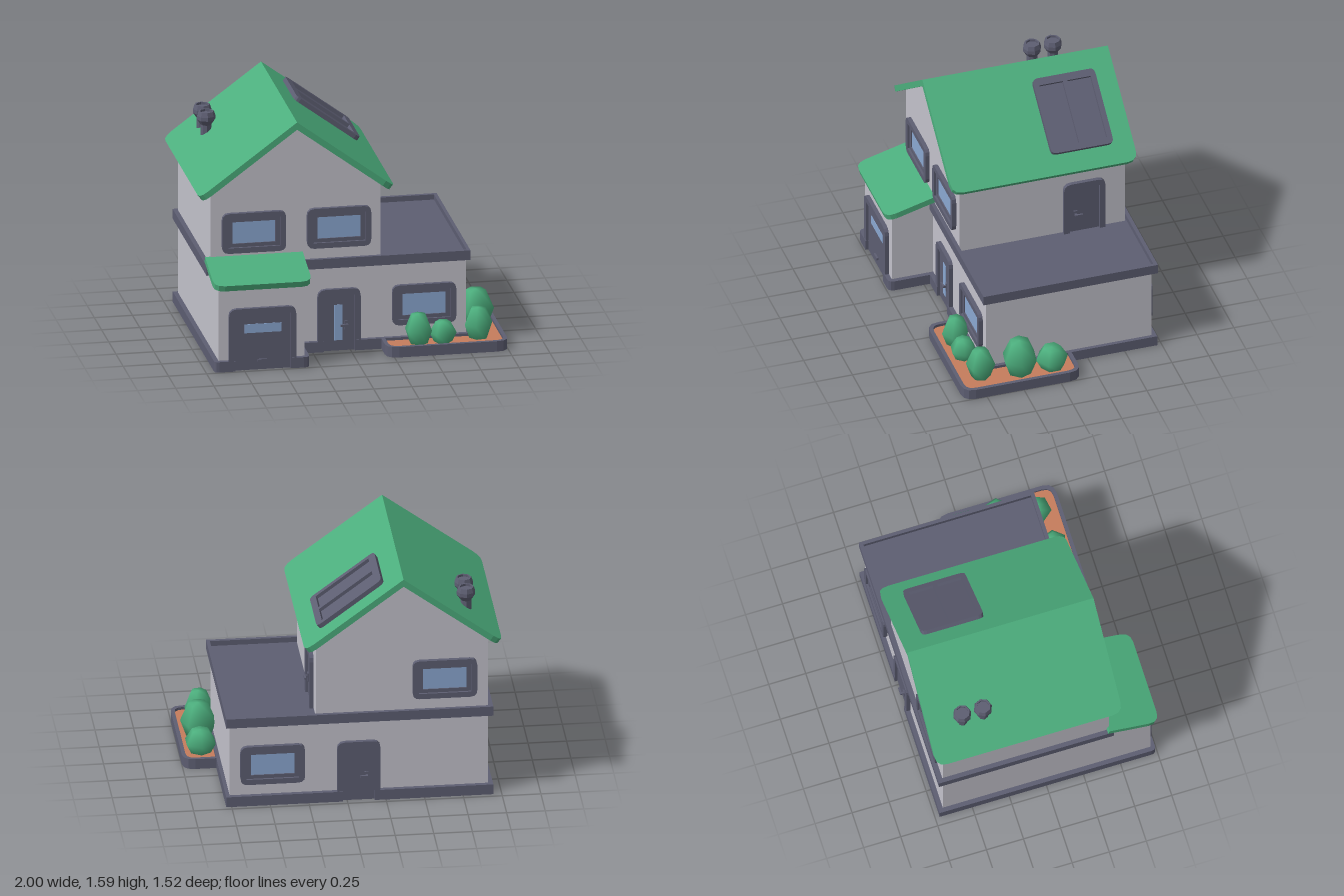
import * as THREE from 'three';

const mat = (name, color) => {
  const m = new THREE.MeshStandardMaterial({ color });
  m.name = name;
  return m;
};

// Closed outline from [x, y, cornerRadius] points
function outline(pts, Type = THREE.Shape) {
  const s = new Type();
  const n = pts.length;
  pts.forEach(([x, y, r = 0], i) => {
    const toward = ([px, py]) => {
      const d = Math.hypot(px - x, py - y);
      return [x + ((px - x) / d) * r, y + ((py - y) / d) * r];
    };
    const a = r ? toward(pts[(i + n - 1) % n]) : [x, y];
    if (i === 0) s.moveTo(...a); else s.lineTo(...a);
    if (r) s.quadraticCurveTo(x, y, ...toward(pts[(i + 1) % n]));
  });
  s.closePath();
  return s;
}

// Rectangle with a radius for the lower and upper corners
const rect = (x0, y0, x1, y1, low = 0, high = low) =>
  [[x0, y0, low], [x1, y0, low], [x1, y1, high], [x0, y1, high]];

function extrude(pts, depth, holes = []) {
  const s = outline(pts);
  holes.forEach((h) => s.holes.push(outline(h, THREE.Path)));
  return new THREE.ExtrudeGeometry(s, { depth, bevelEnabled: false, curveSegments: 3 });
}

// Horizontal plate: outline given in x and -z, rising from y
const slab = (pts, y, h, holes) => extrude(pts, h, holes).rotateX(-Math.PI / 2).translate(0, y, 0);

function faceted(geo) {
  const g = geo.toNonIndexed();
  g.computeVertexNormals();
  return g;
}

export function createModel() {
  const wall = mat('wall grey', 0xc4c3cc);
  const trim = mat('slate trim', 0x5d5e72);
  const green = mat('roof and leaf green', 0x4cae7d);
  const glass = mat('window blue', 0x8ba8d2);
  const soil = mat('terracotta soil', 0xc67c5c);

  const house = new THREE.Group();
  house.name = 'house';
  const add = (parent, name, geo, material, x = 0, y = 0, z = 0) => {
    const m = new THREE.Mesh(geo, material);
    m.name = name;
    m.position.set(x, y, z);
    parent.add(m);
    return m;
  };
  const box = (w, h, d) => new THREE.BoxGeometry(w, h, d);

  // Walls
  add(house, 'groundFloor', box(1.675, 0.56, 1.12), wall, -0.0775, 0.3, -0.13);
  add(house, 'upperFloor', extrude([
    [-0.915, 0.58], [0.2, 0.58], [0.2, 1.145], [-0.36, 1.56], [-0.915, 1.145],
  ], 1.12), wall, 0, 0, -0.69);
  add(house, 'garage', extrude([
    [-0.71, 0.02], [-0.4, 0.02], [-0.4, 0.655], [-0.43, 0.65], [-0.71, 0.57],
  ], 0.565).rotateY(Math.PI / 2), wall, -0.915);

  // Plinth, notched at the doors
  add(house, 'plinth', slab([
    [-0.945, -0.74, 0.03], [-0.81, -0.74], [-0.81, -0.72], [-0.44, -0.72], [-0.44, -0.74],
    [-0.32, -0.74, 0.04], [-0.32, -0.46], [-0.177, -0.46], [-0.177, -0.44], [0.028, -0.44],
    [0.028, -0.46], [0.785, -0.46], [0.785, 0.72], [0.028, 0.72], [0.028, 0.7],
    [-0.177, 0.7], [-0.177, 0.72], [-0.945, 0.72],
  ], 0, 0.07), trim);

  // Planter wrapped round the front corner
  add(house, 'planterRim', slab(rect(0.2, -0.655, 1, 0.14, 0.08), 0, 0.07,
    [rect(0.225, -0.63, 0.975, 0.115, 0.06)]), trim);
  add(house, 'planterFloor', slab(rect(0.21, -0.645, 0.99, 0.13, 0.08), 0, 0.03), trim);
  add(house, 'planterSoil', slab(rect(0.22, -0.635, 0.98, 0.12, 0.065), 0.03, 0.022), soil);

  // Shrubs: x, z, radius, top
  [[0.87, 0.02, 0.108, 0.205], [0.86, 0.235, 0.118, 0.295], [0.83, 0.49, 0.095, 0.255],
    [0.43, 0.53, 0.092, 0.25], [0.59, 0.53, 0.088, 0.19]].forEach(([x, z, r, top], i) => {
    const h = top - 0.04;
    const profile = [[0, 0], [0.62, 0], [1, 0.48], [0.55, 0.97], [0, 1]]
      .map(([a, b]) => new THREE.Vector2(a * r, b * h));
    add(house, 'shrub', new THREE.LatheGeometry(profile, 6), green, x, 0.04, z).rotation.y = i * 0.35;
  });

  // Terrace with its parapet band
  add(house, 'parapet', slab(rect(-0.945, -0.455, 0.785, 0.725), 0.565, 0.065,
    [rect(-0.915, -0.43, 0.763, 0.7)]), trim);
  add(house, 'terraceFloor', box(1.7, 0.02, 1.15), trim, -0.08, 0.585, -0.135);

  // Gable roof: two mirrored slopes hung from the ridge
  const pitch = Math.atan2(0.475, 0.64);
  const slopes = [0, Math.PI].map((turn) => {
    const side = new THREE.Group();
    side.name = turn ? 'leftRoof' : 'rightRoof';
    side.position.set(-0.36, 1.585, -0.1275);
    side.rotation.y = turn;
    const tilt = new THREE.Group();
    tilt.name = 'roofSlope';
    tilt.rotation.z = -pitch;
    side.add(tilt);
    house.add(side);
    add(tilt, 'roofPanel', slab([
      [0, -0.6275], [0.797, -0.6275, 0.07], [0.797, 0.6275, 0.07], [0, 0.6275],
    ], -0.04, 0.04), green);
    return tilt;
  });

  // Roof panel frame with two sunken panes
  add(slopes[0], 'roofPanelFrame', slab(rect(0.14, 0.0725, 0.66, 0.4925, 0.035), -0.005, 0.035,
    [rect(0.19, 0.108, 0.615, 0.268), rect(0.19, 0.297, 0.615, 0.457)]), trim);
  add(slopes[0], 'roofPanelPanes', box(0.45, 0.008, 0.37), trim, 0.4, 0.004, -0.2825);

  // Garage roof
  const lean = Math.atan2(0.09, 0.33);
  const porch = add(house, 'garageRoof', slab([
    [-0.32, -0.345, 0.07], [0.32, -0.345, 0.07], [0.32, 0.005], [-0.32, 0.005],
  ], -0.04, 0.04), green, -0.63, 0.682, 0.43);
  porch.rotation.x = lean;

  // Chimney pipes
  const pipe = faceted(new THREE.LatheGeometry([
    [0.036, 0], [0.036, 0.09], [0.06, 0.125], [0.06, 0.15], [0.05, 0.18],
    [0.04, 0.18], [0.04, 0.165], [0, 0.165],
  ].map(([r, y]) => new THREE.Vector2(r, y)), 8));
  [-0.52, -0.38].forEach((z) => add(house, 'chimneyPipe', pipe, trim, -0.79, 1.22, z));

  // Groups whose local +z points out of a wall
  const onWall = (name, x, y, z, turn) => {
    const g = new THREE.Group();
    g.name = name;
    g.position.set(x, y, z);
    g.rotation.y = turn;
    house.add(g);
    return g;
  };

  function addWindow(x, y, z, turn = 0) {
    const g = onWall('window', x, y, z, turn);
    add(g, 'windowFrame', extrude(rect(-0.209, -0.135, 0.209, 0.135, 0.045), 0.028,
      [rect(-0.17, -0.098, 0.17, 0.098)]), trim);
    add(g, 'windowSash', extrude(rect(-0.175, -0.1, 0.175, 0.1), 0.014,
      [rect(-0.141, -0.073, 0.141, 0.073)]), trim);
    add(g, 'windowGlass', box(0.29, 0.15, 0.006), glass, 0, 0, 0.004);
  }
  addWindow(-0.6325, 0.84, 0.43);
  addWindow(-0.075, 0.84, 0.43);
  addWindow(0.4825, 0.285, 0.43);
  addWindow(-0.6325, 0.84, -0.69, Math.PI);
  addWindow(0.4825, 0.285, -0.69, Math.PI);

  function addDoor(name, x, y, z, turn, w, h) {
    const g = onWall(name, x, y, z, turn);
    const a = w / 2;
    const b = a - 0.038;
    add(g, 'doorFrame', extrude([
      [-a, 0], [-b, 0], [-b, h - 0.043], [b, h - 0.043], [b, 0], [a, 0],
      [a, h, 0.05], [-a, h, 0.05],
    ], 0.027), trim);
    add(g, 'doorLeaf', box(2 * b, h - 0.04, 0.01), trim, 0, (h - 0.04) / 2, 0.005);
    return g;
  }
  // Lever handle; side is the direction the lever points
  function addHandle(g, x, y, side) {
    add(g, 'handlePlate', box(0.026, 0.06, 0.01), trim, x, y, 0.014);
    add(g, 'handleStem', box(0.014, 0.014, 0.025), trim, x, y + 0.005, 0.025);
    add(g, 'handleLever', box(0.05, 0.014, 0.012), trim, x + side * 0.018, y + 0.005, 0.036);
  }
  const front = addDoor('frontDoor', -0.075, 0, 0.43, 0, 0.28, 0.42);
  add(front, 'doorGlass', box(0.055, 0.24, 0.004), glass, -0.003, 0.19, 0.011);
  addHandle(front, 0.05, 0.17, -1);
  addHandle(addDoor('backDoor', -0.075, 0, -0.69, Math.PI, 0.28, 0.42), 0.05, 0.17, -1);
  addHandle(addDoor('terraceDoor', 0.2, 0.595, -0.41, Math.PI / 2, 0.28, 0.38), -0.06, 0.13, 1);

  const garage = addDoor('garageDoor', -0.63, 0, 0.71, 0, 0.44, 0.42);
  add(garage, 'garageGlass', box(0.24, 0.06, 0.004), glass, 0.005, 0.28, 0.011);
  add(garage, 'garageHandle', box(0.06, 0.016, 0.014), trim, 0, 0.063, 0.016);

  return house;
}
